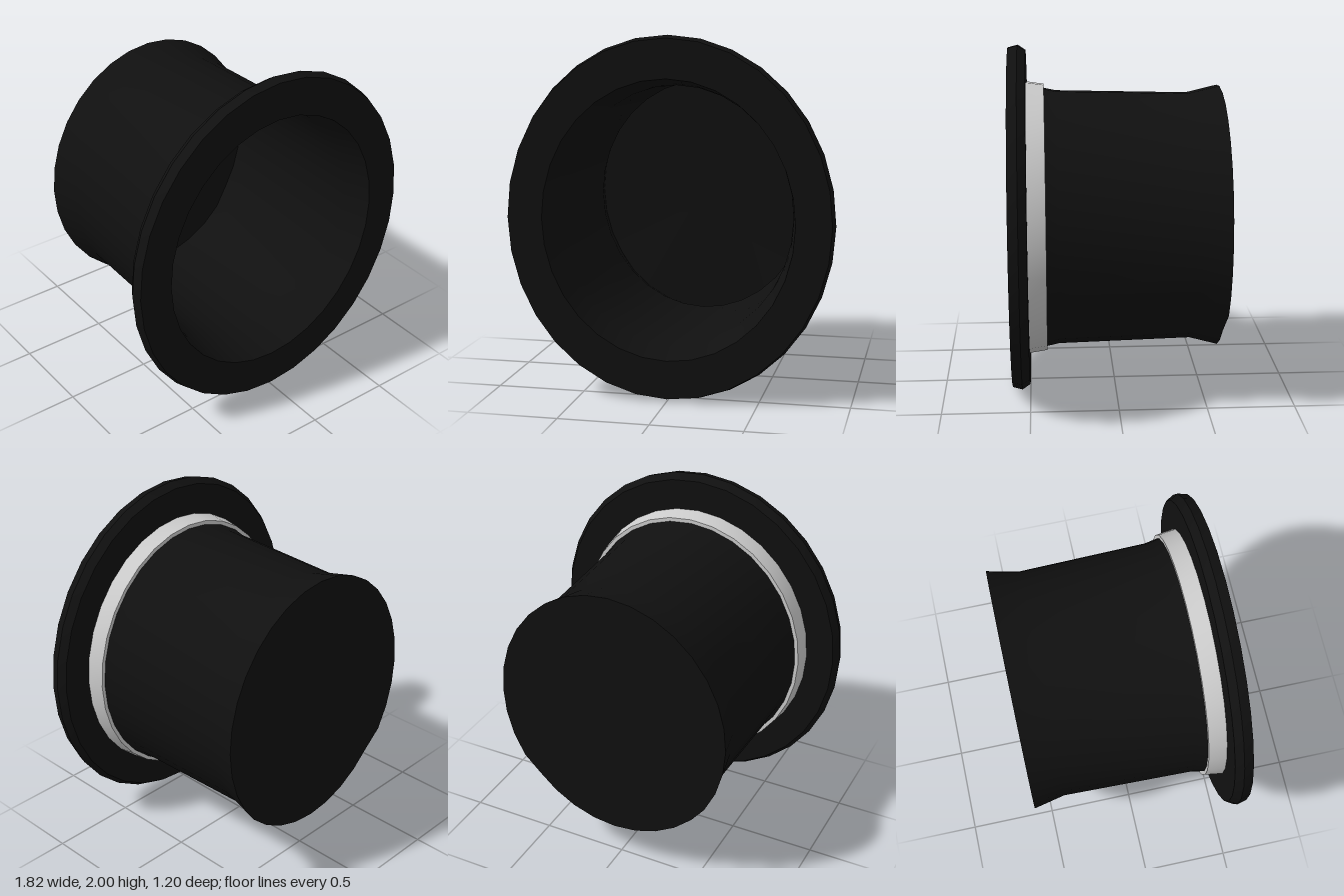
import * as THREE from 'three';
import { toCreasedNormals } from 'three/addons/utils/BufferGeometryUtils.js';

const SIDES = 32;
const WIDTH = 0.91; // the hat is slightly oval

// Revolves [radius, z] pairs about the z axis, through y = 1
function revolve(name, profile, color, bend) {
  const points = profile.map(([r, z]) => new THREE.Vector2(r, z));
  const geometry = new THREE.LatheGeometry(points, SIDES);
  geometry.rotateX(Math.PI / 2).scale(WIDTH, 1, 1).translate(0, 1, 0);
  if (bend) bend(geometry.attributes.position);
  const material = new THREE.MeshStandardMaterial({ color, side: THREE.DoubleSide });
  const mesh = new THREE.Mesh(toCreasedNormals(geometry, 0.7), material);
  mesh.name = name;
  return mesh;
}

// Lifts the lower edge of the flat end a little
function liftLowerEdge(position) {
  for (let i = 0; i < position.count; i++) {
    if (position.getZ(i) > -0.55) continue;
    const t = THREE.MathUtils.clamp((0.58 - position.getY(i)) / 0.12, 0, 1);
    position.setZ(i, position.getZ(i) + 0.02 * t);
  }
}

export function createModel() {
  const hat = new THREE.Group();
  hat.name = 'topHat';

  // Crown and brim: outside from the flat end to the brim, then back down the lining
  hat.add(revolve('crownAndBrim', [
    [0, -0.6], [0.76, -0.6],
    [0.718, -0.42], [0.737, 0.33], [0.752, 0.4], [0.77, 0.5],
    [0.97, 0.5], [1, 0.545], [0.985, 0.6],
    [0.77, 0.6], [0.735, 0.42], [0.72, 0.33], [0.7, -0.42],
    [0.74, -0.575], [0, -0.575],
  ], 0x101010, liftLowerEdge));

  // Ribbon wrapped round the base of the crown
  hat.add(revolve('ribbon', [
    [0.75, 0.4], [0.775, 0.4], [0.79, 0.5],
  ], 0xcccccc));

  return hat;
}
